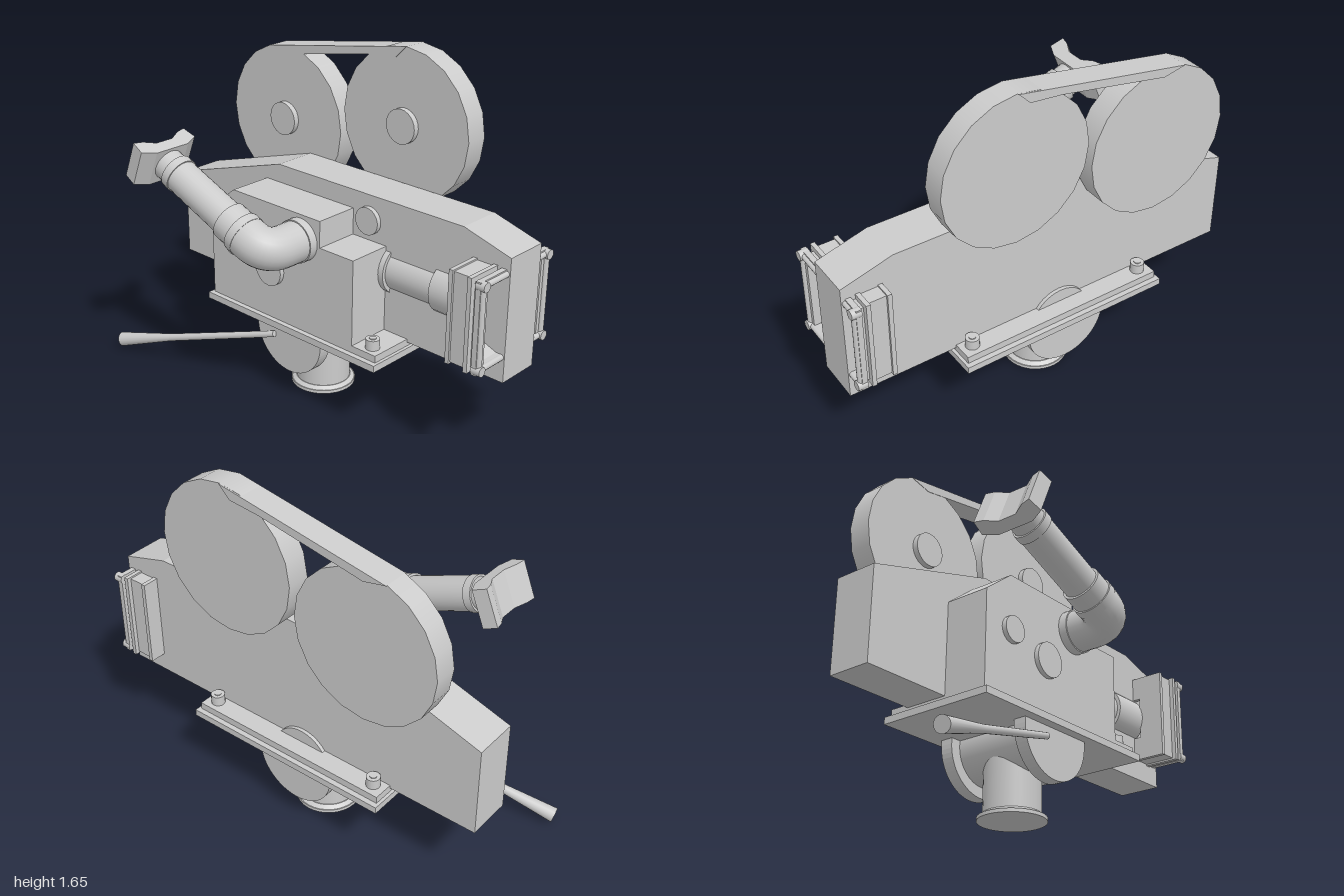
import * as THREE from 'three';

const GREY = { color: 0xcccccc };
const smooth = new THREE.MeshStandardMaterial(GREY);
const flat = new THREE.MeshStandardMaterial({ ...GREY, flatShading: true });
const thin = new THREE.MeshStandardMaterial({ ...GREY, flatShading: true, side: THREE.DoubleSide });

function add(parent, name, geometry, material = flat) {
  const mesh = new THREE.Mesh(geometry, material);
  mesh.name = name;
  parent.add(mesh);
  return mesh;
}

// Box given by its min and max corners
function box(parent, name, [x0, y0, z0], [x1, y1, z1]) {
  const g = new THREE.BoxGeometry(x1 - x0, y1 - y0, z1 - z0);
  return add(parent, name, g.translate((x0 + x1) / 2, (y0 + y1) / 2, (z0 + z1) / 2));
}

// Round rod between two points
function rod(parent, name, a, b, r0, r1 = r0, sides = 24) {
  const p = new THREE.Vector3(...a), q = new THREE.Vector3(...b);
  const mesh = add(parent, name, new THREE.CylinderGeometry(r1, r0, p.distanceTo(q), sides), smooth);
  mesh.position.copy(p).add(q).multiplyScalar(0.5);
  mesh.quaternion.setFromUnitVectors(new THREE.Vector3(0, 1, 0), q.sub(p).normalize());
  return mesh;
}

const polygon = (pts) => new THREE.Shape(pts.map(([x, y]) => new THREE.Vector2(x, y)));

// Front outline pushed from z0 to z1
function slab(parent, name, shape, z0, z1) {
  const g = new THREE.ExtrudeGeometry(shape, { depth: z1 - z0, bevelEnabled: false, curveSegments: 16 });
  return add(parent, name, g.translate(0, 0, z0));
}

function buildMagazine() {
  const group = new THREE.Group();
  group.name = 'filmMagazine';
  for (const [x, y] of [[-0.465, 1.18], [0.255, 1.305]]) {
    const reel = add(group, 'reelCase', new THREE.CylinderGeometry(0.35, 0.35, 0.11, 20).rotateX(Math.PI / 2), smooth);
    reel.position.set(x, y, -0.395);
    rod(group, 'reelHub', [x, y, -0.345], [x, y, -0.313], 0.08);
  }
  const bridge = polygon([[-0.573, 1.513], [-0.465, 1.49], [-0.37, 1.508], [0.05, 1.585], [0.2, 1.6], [0.255, 1.655]]);
  slab(group, 'magazineBridge', bridge, -0.457, -0.338);
  return group;
}

function buildLens() {
  const group = new THREE.Group();
  group.name = 'lensAssembly';
  const cy = 0.713, cz = -0.188;
  const barrel = (x0, x1, r) => rod(group, 'lensBarrel', [x0, cy, cz], [x1, cy, cz], r, r, 32);
  barrel(0.34, 0.38, 0.115);
  barrel(0.37, 0.64, 0.098);
  barrel(0.63, 0.83, 0.115);
  // Square frames of the lens hood
  const frame = (name, x0, x1, hy, hz, iy, iz) => {
    const shape = polygon([[-hz, -hy], [hz, -hy], [hz, hy], [-hz, hy]]);
    shape.holes.push(polygon([[-iz, -iy], [-iz, iy], [iz, iy], [iz, -iy]]));
    const g = new THREE.ExtrudeGeometry(shape, { depth: x1 - x0, bevelEnabled: false });
    add(group, name, g.rotateY(Math.PI / 2).translate(x0, cy, cz));
  };
  frame('hoodBack', 0.815, 0.835, 0.212, 0.225, 0.1, 0.1);
  frame('hoodShell', 0.835, 0.925, 0.205, 0.215, 0.18, 0.19);
  frame('hoodLip', 0.915, 0.935, 0.213, 0.235, 0.175, 0.185);
  frame('hoodWaist', 0.935, 0.96, 0.19, 0.21, 0.175, 0.185);
  frame('hoodFront', 0.955, 0.98, 0.208, 0.235, 0.175, 0.185);
  // Four-sided funnel narrowing towards the lens
  const funnel = new THREE.CylinderGeometry(0.178 * Math.SQRT2, 0.13 * Math.SQRT2, 0.125, 4, 1, true);
  funnel.rotateY(Math.PI / 4).rotateZ(-Math.PI / 2).scale(1, 1, 1.06);
  add(group, 'hoodFunnel', funnel.translate(0.9, cy, cz), thin);
  // Rods and corner knobs on the hood front
  const hy = 0.188, hz = 0.218;
  for (const s of [-1, 1]) {
    rod(group, 'hoodRod', [0.98, cy - hy, cz + s * hz], [0.98, cy + hy, cz + s * hz], 0.014, 0.014, 12);
    rod(group, 'hoodRod', [0.98, cy + s * hy, cz - hz], [0.98, cy + s * hy, cz + hz], 0.014, 0.014, 12);
    for (const t of [-1, 1])
      rod(group, 'hoodKnob', [0.955, cy + s * hy, cz + t * hz], [1, cy + s * hy, cz + t * hz], 0.022, 0.022, 16);
  }
  return group;
}

function buildViewfinder() {
  const group = new THREE.Group();
  group.name = 'viewfinder';
  const x = 0.045, y = 0.838, z = 0.305;
  const tilt = 0.384, dx = -Math.cos(tilt), dy = Math.sin(tilt);
  rod(group, 'finderCollar', [x, y, 0.08], [x, y, 0.13], 0.1, 0.1, 32);
  // Elbow turning from the housing towards the eyepiece
  const bend = new THREE.CurvePath();
  const v = (a, b, c) => new THREE.Vector3(a, b, c);
  const p1 = v(x, y, 0.2), p2 = v(x + dx * 0.1, y + dy * 0.1, z);
  bend.add(new THREE.LineCurve3(v(x, y, 0.1), p1));
  bend.add(new THREE.QuadraticBezierCurve3(p1, v(x, y, z), p2));
  bend.add(new THREE.LineCurve3(p2, v(x + dx * 0.15, y + dy * 0.15, z)));
  add(group, 'finderElbow', new THREE.TubeGeometry(bend, 24, 0.095, 24), smooth);
  // Straight tube, built along local x
  const arm = new THREE.Group();
  arm.name = 'finderArm';
  arm.position.set(x, y, z);
  arm.rotation.z = Math.PI - tilt;
  group.add(arm);
  const steps = [[0.12, 0.16, 0.097], [0.14, 0.24, 0.09], [0.22, 0.6, 0.079], [0.57, 0.61, 0.084], [0.61, 0.69, 0.075]];
  for (const [a, b, r] of steps) rod(arm, 'finderTube', [a, 0, 0], [b, 0, 0], r);
  // Eyepiece pad, hollowed towards the eye
  const pad = polygon([[0.665, -0.09], [0.695, -0.155], [0.765, -0.145], [0.755, -0.1], [0.725, -0.045],
    [0.725, 0.045], [0.755, 0.1], [0.765, 0.145], [0.695, 0.155], [0.665, 0.09]]);
  const g = new THREE.ExtrudeGeometry(pad, { depth: 0.18, bevelEnabled: false });
  add(arm, 'eyepiece', g.rotateX(Math.PI / 2).translate(0, 0.09, 0));
  return group;
}

function buildMount() {
  const group = new THREE.Group();
  group.name = 'mount';
  const cx = -0.052, cy = 0.335, cz = -0.165;
  box(group, 'basePlate', [-0.545, 0.36, -0.455], [0.502, 0.392, 0.115]);
  box(group, 'upperPlate', [-0.53, 0.392, -0.43], [0.487, 0.425, 0.09]);
  for (const [x, z] of [[0.43, 0.04], [0.43, -0.375], [-0.47, -0.375]]) {
    rod(group, 'bolt', [x, 0.42, z], [x, 0.472, z], 0.032, 0.032, 16);
    rod(group, 'boltTop', [x, 0.47, z], [x, 0.476, z], 0.016, 0.016, 12);
  }
  // Tilt cylinder between two half-round cheeks
  rod(group, 'tiltCylinder', [cx, cy, 0.02], [cx, cy, -0.352], 0.15, 0.15, 32);
  const cheek = new THREE.Shape();
  cheek.moveTo(cx - 0.2, 0.365);
  cheek.lineTo(cx - 0.2, cy);
  cheek.absarc(cx, cy, 0.2, Math.PI, Math.PI * 2, false);
  cheek.lineTo(cx + 0.2, 0.365);
  slab(group, 'tiltCheek', cheek, 0.01, 0.07);
  slab(group, 'tiltCheek', cheek, -0.4, -0.34);
  // Pedestal with a flared foot
  rod(group, 'pedestal', [cx, 0.02, cz], [cx, 0.32, cz], 0.127, 0.127, 32);
  rod(group, 'pedestalFoot', [cx, 0, cz], [cx, 0.016, cz], 0.152, 0.152, 32);
  rod(group, 'pedestalFlare', [cx, 0.016, cz], [cx, 0.03, cz], 0.148, 0.13, 32);
  // Pan handle with a thicker grip
  const a = [-0.13, 0.305, 0.085], m = [-0.7, 0.133, 0.235], e = [-0.99, 0.046, 0.311];
  rod(group, 'panHandle', a, m, 0.015, 0.018, 16);
  rod(group, 'panGrip', m, e, 0.018, 0.035, 16);
  return group;
}

export function createModel() {
  const model = new THREE.Group();
  model.name = 'filmCamera';
  // Long main body
  slab(model, 'mainBody', polygon([[-0.96, 0.41], [0.998, 0.41], [0.998, 0.975], [0.76, 1.042], [-0.3, 1.042], [-0.96, 0.84]]), -0.335, -0.125);
  // Side housing with stepped top
  slab(model, 'sideHousing', polygon([[-0.53, 0.392], [0.353, 0.392], [0.353, 0.83], [0.16, 0.83], [0.16, 0.955], [-0.38, 0.955], [-0.53, 0.835]]), -0.13, 0.09);
  // Round covers
  for (const [x, y, r, z] of [[-0.37, 0.7, 0.06, 0.09], [-0.14, 0.64, 0.08, 0.09], [0.255, 0.925, 0.064, -0.125]])
    rod(model, 'roundCover', [x, y, z - 0.01], [x, y, z + 0.022], r);
  model.add(buildMagazine(), buildLens(), buildViewfinder(), buildMount());
  return model;
}
